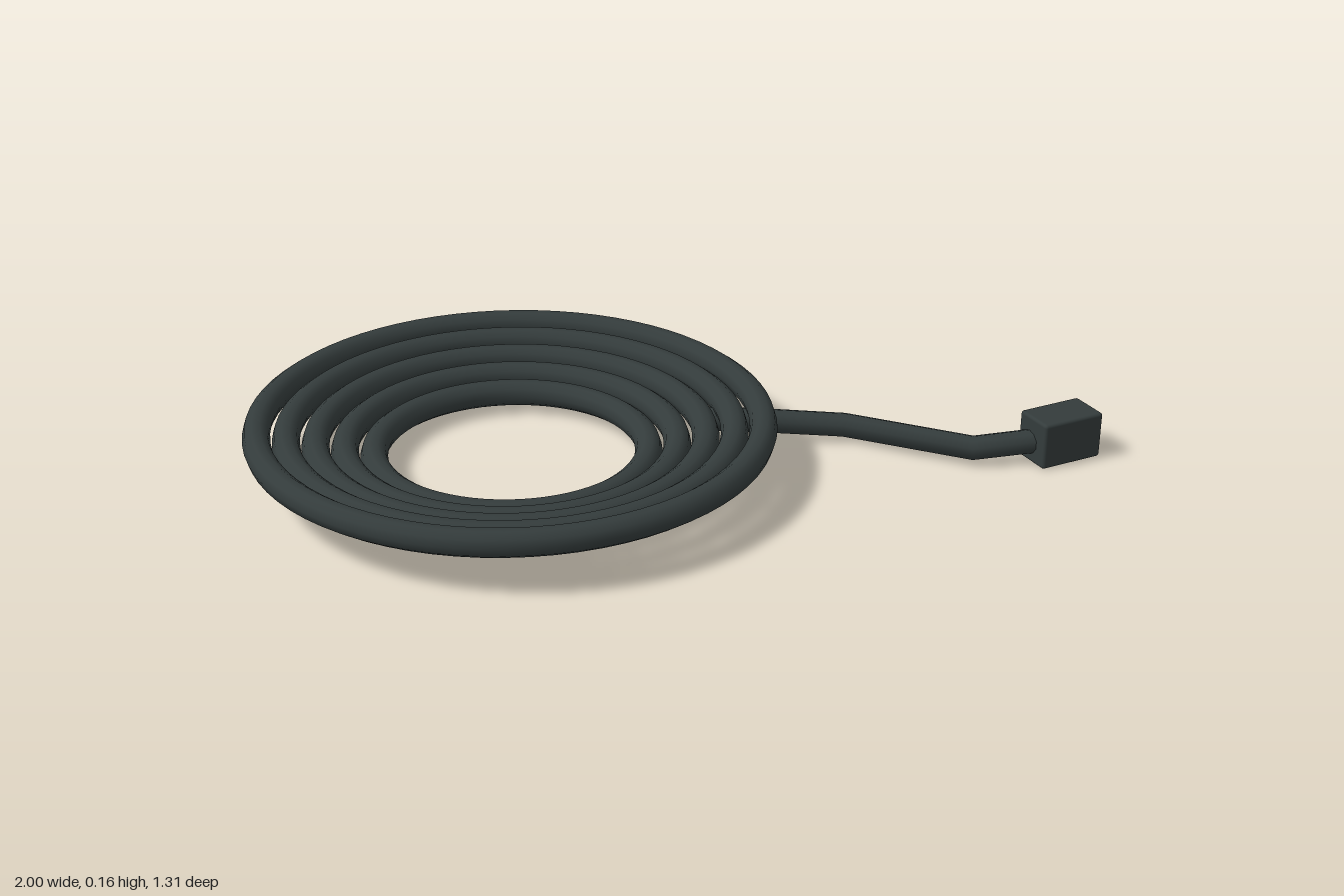
import * as THREE from 'three';
import { RoundedBoxGeometry } from 'three/addons/geometries/RoundedBoxGeometry.js';

// Straight runs between points, with mitred bends
class BentPath extends THREE.Curve {
  constructor(points) {
    super();
    this.points = points;
  }
  getPoint(t, target = new THREE.Vector3()) {
    const n = this.points.length - 1;
    const i = Math.min(Math.floor(t * n + 1e-6), n - 1);
    return target.lerpVectors(this.points[i], this.points[i + 1], t * n - i);
  }
  getPointAt(u, target) {
    return this.getPoint(u, target);
  }
  getTangentAt(u, target = new THREE.Vector3()) {
    const p = this.points, n = p.length - 1, i = Math.round(u * n);
    target.set(0, 0, 0);
    if (i > 0) target.add(p[i].clone().sub(p[i - 1]).normalize());
    if (i < n) target.add(p[i + 1].clone().sub(p[i]).normalize());
    return target.normalize();
  }
}

export function createModel() {
  const model = new THREE.Group();
  model.name = 'coiledCable';
  const rubber = new THREE.MeshStandardMaterial({ color: 0x343c3c });
  rubber.name = 'dark rubber';

  const add = (parent, name, geometry, x = 0, y = 0, z = 0) => {
    const mesh = new THREE.Mesh(geometry, rubber);
    mesh.name = name;
    mesh.position.set(x, y, z);
    parent.add(mesh);
    return mesh;
  };

  // Five loops widening upwards into a shallow dish
  const coil = new THREE.Group();
  coil.name = 'coil';
  coil.position.set(-0.345, 0, -0.002);
  model.add(coil);
  for (let i = 0; i < 5; i++) {
    const loop = new THREE.TorusGeometry(0.339 + i * 0.0705, 0.034, 10, 72);
    loop.rotateX(-Math.PI / 2);
    add(coil, 'loop' + (i + 1), loop, 0, 0.053 + i * 0.0193, 0);
  }

  // Loose lead running from beneath the coil to the plug
  const leadPoints = [
    [0.14, 0.074, 0.09],
    [0.29, 0.061, 0.148],
    [0.48, 0.039, 0.22],
    [0.69, 0.046, 0.49],
    [0.85, 0.055, 0.542],
  ].map((p) => new THREE.Vector3(...p));
  const lead = new BentPath(leadPoints);
  add(model, 'lead', new THREE.TubeGeometry(lead, leadPoints.length - 1, 0.031, 10));

  // Cap on the hidden end of the lead
  const cap = add(model, 'leadEnd', new THREE.CircleGeometry(0.031, 10), ...leadPoints[0].toArray());
  cap.lookAt(leadPoints[0].clone().multiplyScalar(2).sub(leadPoints[1]));

  // Plug block
  add(model, 'plug', new RoundedBoxGeometry(0.174, 0.12, 0.108, 2, 0.008), 0.913, 0.062, 0.545);

  return model;
}
